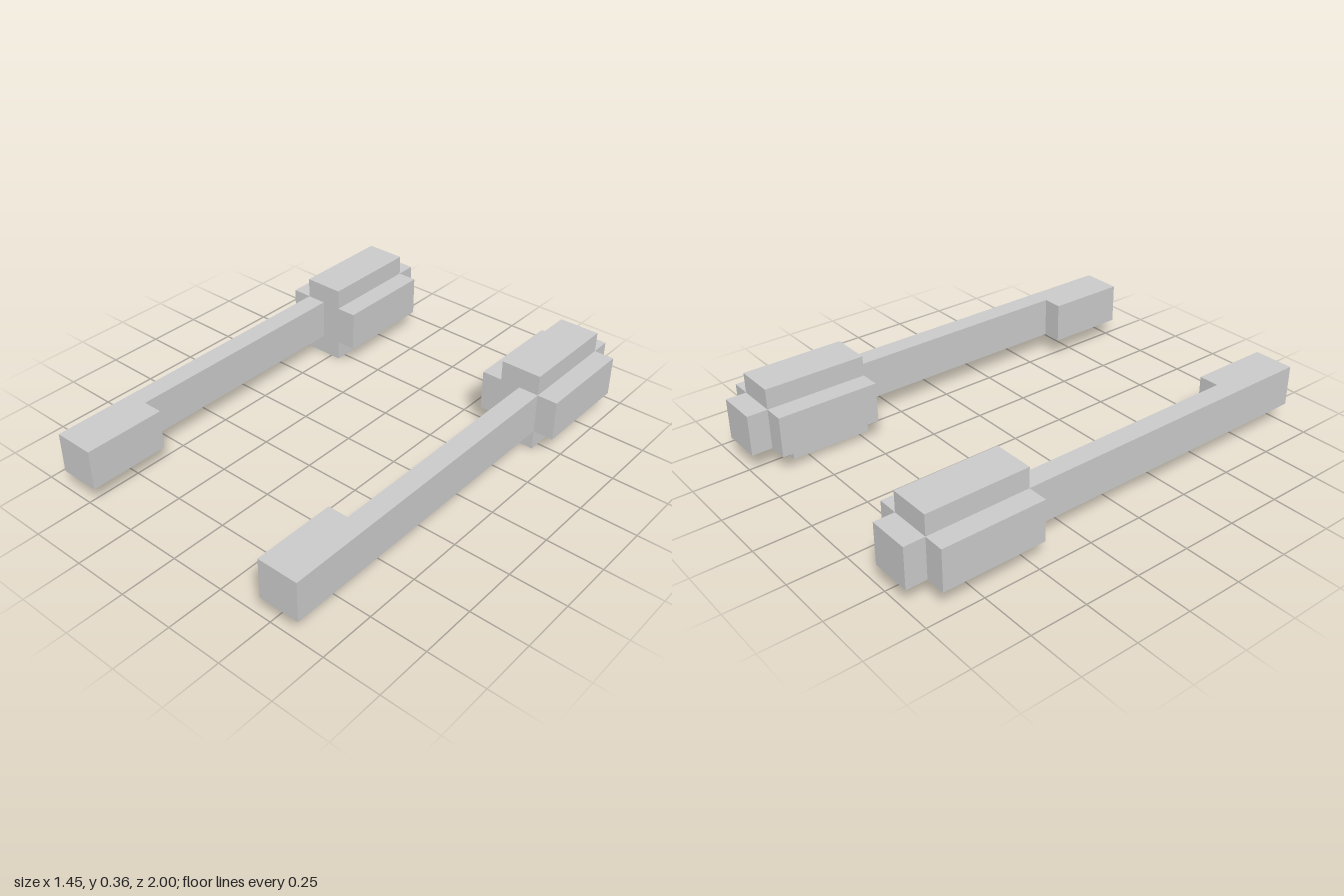
import * as THREE from 'three';

const U = 1 / 11; // one grid cell of the blocky style
const material = new THREE.MeshStandardMaterial({ color: 0xcccccc, flatShading: true });

// Box given by its limits in grid cells
function block(name, [x0, x1], [y0, y1], [z0, z1]) {
  const geometry = new THREE.BoxGeometry((x1 - x0) * U, (y1 - y0) * U, (z1 - z0) * U);
  const mesh = new THREE.Mesh(geometry, material);
  mesh.position.set((x0 + x1) * U / 2, (y0 + y1) * U / 2, (z0 + z1) * U / 2);
  mesh.name = name;
  return mesh;
}

// L-shaped bar seen from above, extruded upward; side is +1 (left) or -1 (right)
function bar(side) {
  const outline = [[7, -5], [7, 11], [5, 11], [5, 7], [6, 7], [6, -5]];
  const shape = new THREE.Shape(outline.map(([x, z]) => new THREE.Vector2(side * x * U, -z * U)));
  const geometry = new THREE.ExtrudeGeometry(shape, { depth: 2 * U, bevelEnabled: false });
  geometry.rotateX(-Math.PI / 2);
  geometry.translate(0, U, 0);
  const mesh = new THREE.Mesh(geometry, material);
  mesh.name = 'handleBar';
  return mesh;
}

function club(side) {
  const span = (a, b) => (side > 0 ? [a, b] : [-b, -a]);
  const group = new THREE.Group();
  group.name = side > 0 ? 'leftClub' : 'rightClub';
  group.add(
    bar(side),
    // Head: a core with a slab on each of its four sides
    block('headCore', span(5, 7), [1, 3], [-11, -5]),
    block('headInnerSlab', span(4, 5), [1, 3], [-10, -5]),
    block('headOuterSlab', span(7, 8), [1, 3], [-10, -5]),
    block('headTopSlab', span(5, 7), [3, 4], [-10, -5]),
    block('headBottomSlab', span(5, 7), [0, 1], [-9, -5])
  );
  return group;
}

export function createModel() {
  const model = new THREE.Group();
  model.name = 'pairOfClubs';
  for (const side of [1, -1]) model.add(club(side));
  return model;
}
